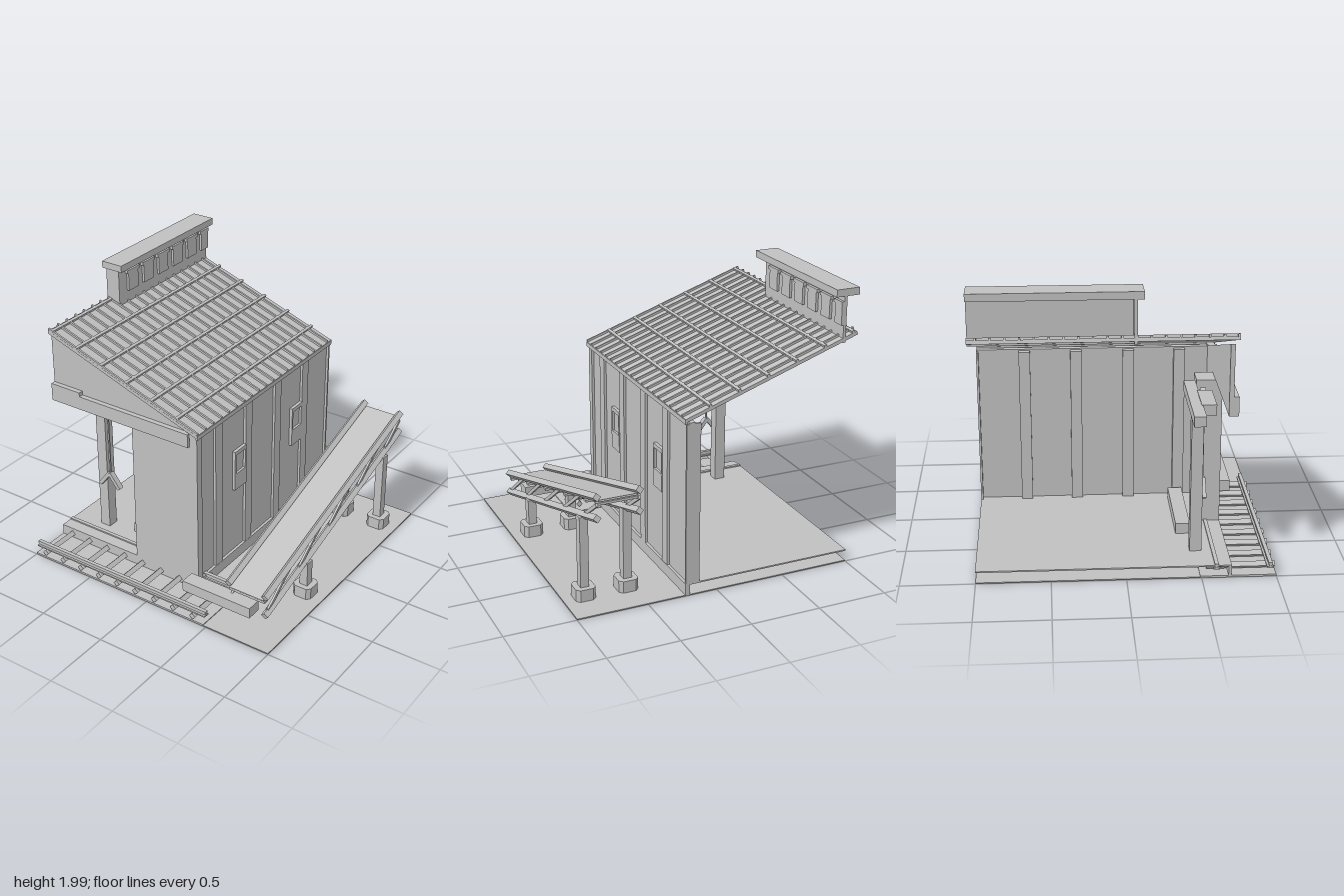
import * as THREE from 'three';

export function createModel() {
  const root = new THREE.Group();
  root.name = 'loadingShed';
  const grey = new THREE.MeshStandardMaterial({ color: 0xc0c0c0, side: THREE.DoubleSide });
  grey.name = 'plain grey';

  const add = (name, geo, parent = root) => {
    const m = new THREE.Mesh(geo, grey);
    m.name = name;
    parent.add(m);
    return m;
  };
  const group = (name) => {
    const g = new THREE.Group();
    g.name = name;
    root.add(g);
    return g;
  };
  // Box given by its limits on each axis
  const box = (name, x0, x1, y0, y1, z0, z1, parent) => {
    const m = add(name, new THREE.BoxGeometry(x1 - x0, y1 - y0, z1 - z0), parent);
    m.position.set((x0 + x1) / 2, (y0 + y1) / 2, (z0 + z1) / 2);
    return m;
  };
  // Rectangular beam between two points
  const beam = (name, a, b, w, h, parent) => {
    const p = new THREE.Vector3(...a), q = new THREE.Vector3(...b);
    const m = add(name, new THREE.BoxGeometry(w, h, p.distanceTo(q)), parent);
    m.position.copy(p).add(q).multiplyScalar(0.5);
    m.lookAt(q);
    return m;
  };
  // Diamond-section bar between two points
  const diamond = (name, a, b, r, parent) => {
    const p = new THREE.Vector3(...a), q = new THREE.Vector3(...b);
    const geo = new THREE.CylinderGeometry(r, r, p.distanceTo(q), 4).toNonIndexed();
    geo.computeVertexNormals();
    geo.rotateX(Math.PI / 2);
    const m = add(name, geo, parent);
    m.position.copy(p).add(q).multiplyScalar(0.5);
    m.lookAt(q);
    return m;
  };

  // Ground and floor slab
  box('ground', -1, 1, 0, 0.008, -1, 1);
  box('trackBed', -1, 0.48, 0.008, 0.014, 0.49, 1);
  box('floor', -1, 0.2, 0.08, 0.09, -1, 0.69);
  box('frontPlinth', -1, 0.23, 0.008, 0.09, 0.68, 0.7);
  box('sidePlinth', 0.2, 0.232, 0.008, 0.09, -1, 0.7);

  // Railway track
  const track = group('track');
  for (let i = 0; i < 9; i++) {
    const x = -0.91 + i * 0.1625;
    diamond('sleeper', [x, 0.045, 0.54], [x, 0.045, 1], 0.025, track);
  }
  for (const z of [0.6, 0.96]) {
    box('railFoot', -1, 0.48, 0.06, 0.07, z - 0.022, z + 0.022, track);
    box('railWeb', -1, 0.48, 0.07, 0.085, z - 0.007, z + 0.007, track);
    box('railHead', -1, 0.48, 0.083, 0.1, z - 0.013, z + 0.013, track);
  }

  // Long side wall with pilasters
  const wall = group('sideWall');
  box('wallPanel', 0.17, 0.212, 0.09, 1.235, -1, 0.69, wall);
  for (const z of [0.445, 0.08, -0.293, -0.66]) {
    box('pilaster', 0.13, 0.23, 0.09, 1.225, z - 0.04, z + 0.04, wall);
  }
  box('cornerPost', 0.17, 0.23, 0.09, 1.25, 0.645, 0.7, wall);
  box('endPost', 0.13, 0.23, 0.09, 1.225, -1, -0.985, wall);
  // Side hatches with sunken upper openings
  for (const z of [0.187, -0.553]) {
    box('hatchLower', 0.21, 0.235, 0.6, 0.73, z - 0.07, z + 0.07, wall);
    box('hatchTop', 0.21, 0.235, 0.88, 0.91, z - 0.07, z + 0.07, wall);
    for (const s of [-1, 1]) {
      box('hatchSide', 0.21, 0.235, 0.73, 0.88, z + s * 0.0625 - 0.0075, z + s * 0.0625 + 0.0075, wall);
    }
    box('hatchPane', 0.21, 0.218, 0.73, 0.88, z - 0.06, z + 0.06, wall);
  }

  // Front wall, gable and beams
  const front = group('frontWall');
  box('frontPanel', -0.31, 0.17, 0.09, 1.15, 0.65, 0.7, front);
  box('doorPier', -0.31, -0.15, 0.09, 1.15, 0.52, 0.66, front);
  box('frontBeam', -1, 0.165, 1.15, 1.25, 0.67, 0.715, front);
  box('beamStep', -1, -0.75, 1.24, 1.28, 0.67, 0.715, front);
  const gable = new THREE.Shape([
    new THREE.Vector2(-1, 1.15), new THREE.Vector2(0.17, 1.15),
    new THREE.Vector2(0.17, 1.25), new THREE.Vector2(0.12, 1.255), new THREE.Vector2(-1, 1.635),
  ]);
  add('gable', new THREE.ExtrudeGeometry(gable, { depth: 0.03, bevelEnabled: false }), front).position.z = 0.65;

  // Porch post, header and braces
  const porch = group('porch');
  box('porchPost', -0.78, -0.7, 0.09, 1.08, 0.44, 0.52, porch);
  box('header', -1, -0.31, 1.08, 1.15, 0.43, 0.51, porch);
  box('hangerBlock', -0.8, -0.52, 1.08, 1.155, 0.5, 0.6, porch);
  beam('brace', [-0.86, 1.1, 0.48], [-0.75, 0.98, 0.48], 0.04, 0.03, porch);
  beam('brace', [-0.36, 1.1, 0.56], [-0.28, 1.01, 0.56], 0.04, 0.03, porch);
  box('kerbBlock', -0.51, 0.1, 0.09, 0.165, 0.37, 0.47, porch);

  // Hanging forked chute
  const chute = group('hangingFork');
  box('rod', -0.667, -0.655, 0.57, 1.1, 0.524, 0.536, chute);
  for (const s of [-1, 1]) {
    beam('forkArm', [-0.661, 0.575, 0.53], [-0.661 + s * 0.085, 0.465, 0.53], 0.04, 0.028, chute);
  }

  // Sloped roof with grid of ribs
  const roof = group('roof');
  const slope = -0.425 / 1.24;
  const roofY = (x) => 1.675 + slope * (x + 1);
  beam('roofSheet', [-1, roofY(-1), -0.145], [0.24, roofY(0.24), -0.145], 1.71, 0.024, roof);
  for (let i = 0; i < 19; i++) {
    const z = 0.702 - i * 0.0915;
    beam('slopeRib', [-1, roofY(-1) + 0.018, z], [0.24, roofY(0.24) + 0.018, z], 0.014, 0.02, roof);
  }
  for (let i = 0; i < 6; i++) {
    const x = -0.97 + i * 0.207;
    const rib = box('crossRib', x - 0.01, x + 0.01, roofY(x) + 0.004, roofY(x) + 0.03, -1, 0.71, roof);
    rib.rotation.z = Math.atan(slope);
  }
  box('eaveBoard', 0.228, 0.242, 1.228, 1.265, -1, 0.71, roof);

  // Ridge vent with cap and side louvres
  const vent = group('ridgeVent');
  box('ventSide', -0.91, -0.89, 1.62, 1.935, -1, 0.065, vent);
  box('ventEnd', -1, -0.89, 1.64, 1.935, 0.045, 0.065, vent);
  box('ventCap', -1, -0.83, 1.935, 1.985, -1, 0.107, vent);
  for (let i = 0; i < 6; i++) {
    const z = -0.08 - i * 0.178;
    const back = Math.max(z - 0.055, -1);
    box('louvre', -0.89, -0.872, 1.74, 1.9, back, z + 0.055, vent);
    box('louvreHead', -0.89, -0.868, 1.875, 1.9, Math.max(z - 0.07, -1), z + 0.07, vent);
  }

  // Inclined conveyor
  const conveyor = group('conveyor');
  const lineY = (z, y) => y + 0.313 * (0.82 - z);
  for (const x of [0.555, 0.848]) {
    diamond('upperChord', [x, lineY(0.81, 0.268), 0.81], [x, lineY(-0.995, 0.268), -0.995], 0.028, conveyor);
    diamond('lowerChord', [x, lineY(0.81, 0.12), 0.81], [x, lineY(-0.995, 0.12), -0.995], 0.028, conveyor);
    for (let i = 0; i < 5; i++) {
      const z0 = 0.8 - i * 0.39, z1 = Math.max(z0 - 0.36, -0.99);
      const rise = 0.148 * (z0 - z1) / 0.36;
      beam('truss', [x, lineY(z0, 0.12), z0], [x, lineY(z1, 0.12 + rise), z1], 0.015, 0.024, conveyor);
    }
  }
  beam('belt', [0.7, lineY(0.81, 0.24), 0.81], [0.7, lineY(-0.99, 0.24), -0.99], 0.27, 0.012, conveyor);
  for (let i = 0; i < 10; i++) {
    const z = 0.79 - i * 0.195;
    box('crossBar', 0.56, 0.845, lineY(z, 0.215), lineY(z, 0.232), z - 0.02, z + 0.02, conveyor);
  }
  // Conveyor legs on chamfered footings
  const c = 0.025, h = 0.07;
  const foot = new THREE.Shape([
    [-h + c, -h], [h - c, -h], [h, -h + c], [h, h - c], [h - c, h], [-h + c, h], [-h, h - c], [-h, -h + c],
  ].map(([x, y]) => new THREE.Vector2(x, y)));
  const footGeo = new THREE.ExtrudeGeometry(foot, { depth: 0.085, bevelEnabled: false }).rotateX(-Math.PI / 2);
  for (const z of [0.298, -0.738]) {
    for (const x of [0.55, 0.855]) {
      box('leg', x - 0.03, x + 0.03, 0.09, lineY(z, 0.115), z - 0.032, z + 0.032, conveyor);
      add('footing', footGeo, conveyor).position.set(x, 0.008, z);
    }
  }
  // Block at the foot of the conveyor
  box('receivingBlock', 0.2, 0.75, 0.085, 0.165, 0.735, 0.845);

  return root;
}
